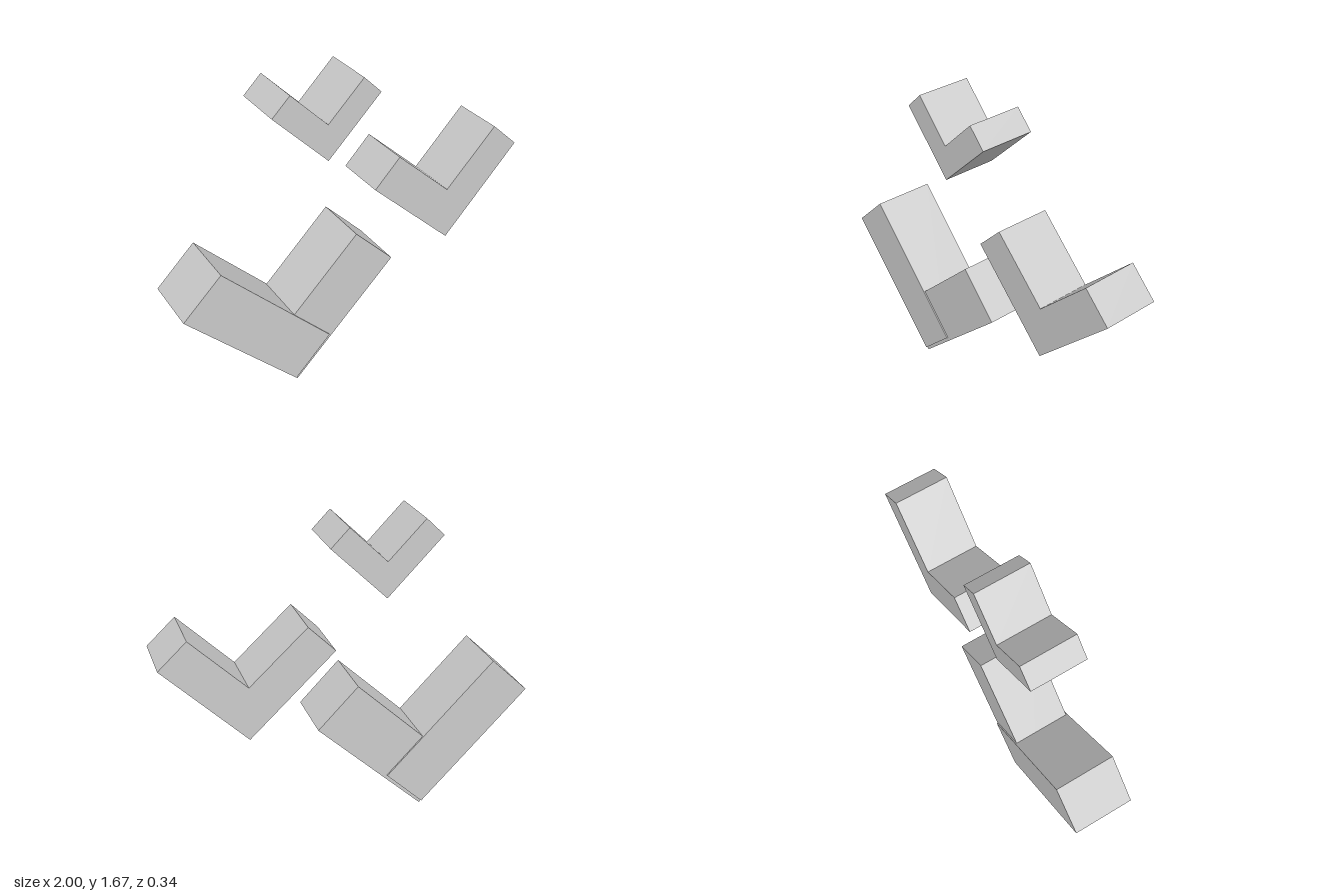
import * as THREE from 'three';

// Straight prism from an outline in the xy plane, centred on z = 0
function prism(name, points, depth) {
  const shape = new THREE.Shape(points.map(([x, y]) => new THREE.Vector2(x, y)));
  const geometry = new THREE.ExtrudeGeometry(shape, { depth, bevelEnabled: false });
  geometry.translate(0, 0, -depth / 2);
  const mesh = new THREE.Mesh(geometry, new THREE.MeshStandardMaterial({ color: 0xcccccc }));
  mesh.name = name;
  return mesh;
}

export function createModel() {
  const group = new THREE.Group();
  group.name = 'chevrons';

  // Large chevron: two overlapping bars, the long one slightly thicker
  const large = new THREE.Group();
  large.name = 'largeChevron';
  large.add(
    prism('longBar', [[-1, 0.62], [-0.396, 0.012], [-0.187, 0.225], [-0.787, 0.829]], 0.336),
    prism('shortBar', [[-0.604, 0.221], [-0.385, 0], [0.203, 0.587], [-0.017, 0.808]], 0.32)
  );
  group.add(large);

  // Medium chevron, one piece
  group.add(prism('mediumChevron', [
    [0.1, 1.031], [0.565, 0.6], [1, 1.065], [0.849, 1.203], [0.558, 0.899], [0.245, 1.183],
  ], 0.3));

  // Small chevron, one piece
  group.add(prism('smallChevron', [
    [-0.471, 1.576], [-0.173, 1.277], [0.125, 1.576], [0.027, 1.673], [-0.173, 1.473], [-0.373, 1.673],
  ], 0.298));

  return group;
}
